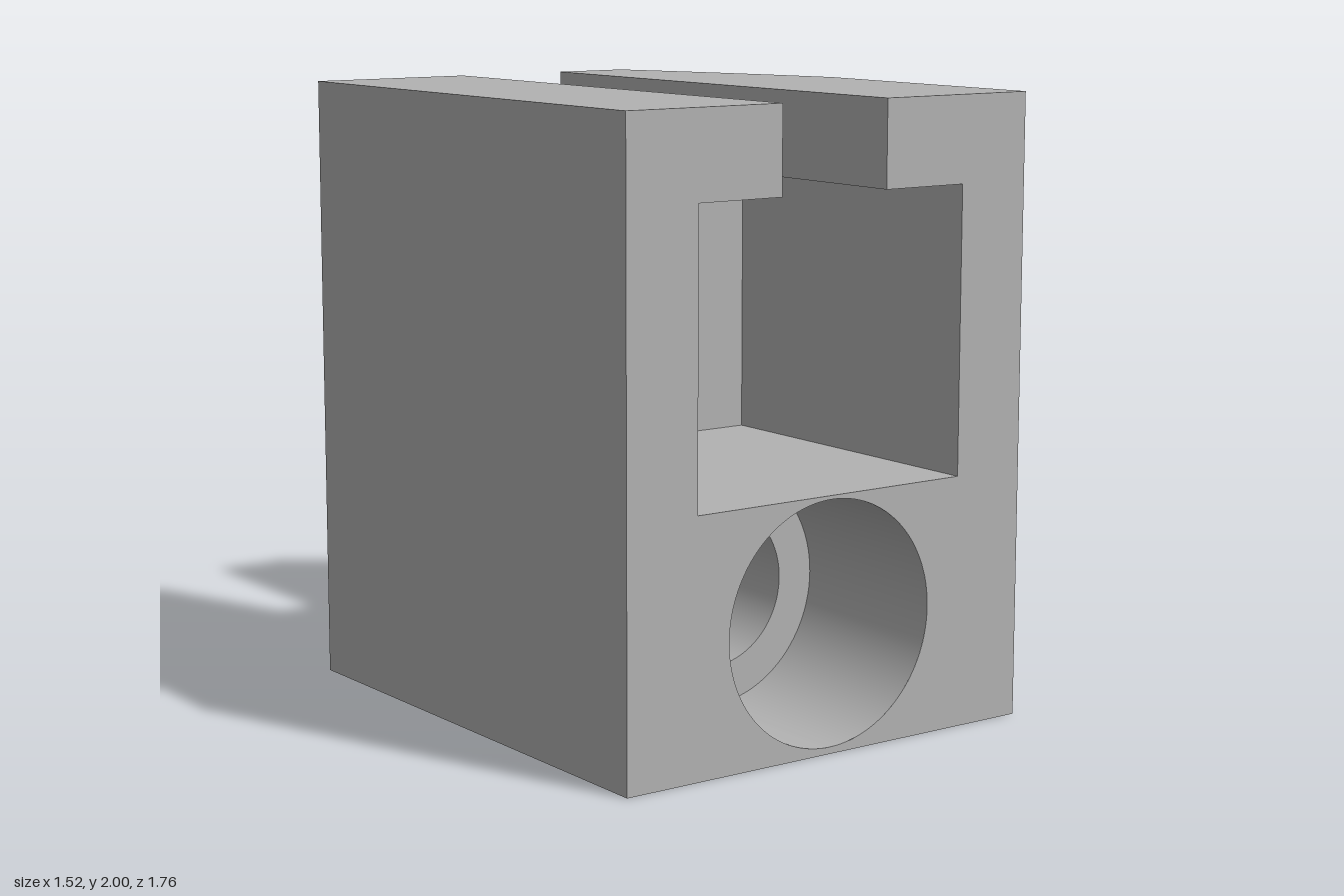
import * as THREE from 'three';

// Main sizes: half width, half depth, height
const W = 0.76, D = 0.88, H = 2;
// Slot half width and floor; pocket half width, floor, ceiling and back
const S = 0.2, SLOT_Y = 1.06, P = 0.505, FLOOR = 0.81, CEIL = 1.725, POCKET_Z = -0.23;
// Stepped bore: centre height, radii and step position
const BORE_Y = 0.41, R_FRONT = 0.388, R_BACK = 0.26, STEP_Z = 0.295;

export function createModel() {
  const model = new THREE.Group();
  model.name = 'slottedBlock';
  const grey = new THREE.MeshStandardMaterial({ color: 0xb2b2b2 });
  grey.name = 'grey';

  const add = (name, geometry) => {
    const mesh = new THREE.Mesh(geometry, grey);
    mesh.name = name;
    model.add(mesh);
    return mesh;
  };

  // Flat-shaded quads, four corners each
  const quads = (list) => {
    const pos = list.flatMap(([a, b, c, d]) => [a, b, c, a, c, d].flat());
    const g = new THREE.BufferGeometry();
    g.setAttribute('position', new THREE.Float32BufferAttribute(pos, 3));
    g.computeVertexNormals();
    return g;
  };

  // Walls swept along z below a path; the solid lies on the path's left
  const walls = (path, z0, z1) => quads(path.slice(1).map((q, i) => {
    const p = path[i];
    return [[...p, z0], [...q, z0], [...q, z1], [...p, z1]];
  }));

  // Flat face with an optional round hole at bore height
  const face = (points, holeRadius) => {
    const shape = new THREE.Shape(points.map((p) => new THREE.Vector2(...p)));
    if (holeRadius) {
      shape.holes.push(new THREE.Path().absarc(0, BORE_Y, holeRadius, 0, Math.PI * 2, true));
    }
    return new THREE.ShapeGeometry(shape, 64);
  };

  // Curved corner cut: straight sections that grow towards the back
  const CUT_Z = -0.065, N = 16;
  const cutTop = [], cutSide = [];
  for (let i = 0; i <= N; i++) {
    const t = i / N, f = 0.76 * t + 0.24 * t * t;
    const z = CUT_Z + (-D - CUT_Z) * t;
    cutTop.push([W - 0.305 * f, H, z]);
    cutSide.push([W, H - 0.34 * f, z]);
  }
  add('curvedCornerCut', quads(cutTop.slice(1).map((a, i) =>
    [cutTop[i], cutSide[i], cutSide[i + 1], a])));

  // Pocket outline, running from the right lip to the left lip
  const pocket = [[S, H], [S, CEIL], [P, CEIL], [P, FLOOR],
    [-P, FLOOR], [-P, CEIL], [-S, CEIL], [-S, H]];
  const slot = [[S, H], [S, SLOT_Y], [-S, SLOT_Y], [-S, H]];

  // Outer shell
  add('outerWalls', walls([[-S, H], [-W, H], [-W, 0], [W, 0]], -D, D));
  add('frontFace', face([[-W, 0], [W, 0], [W, H], ...pocket, [-W, H]], R_FRONT)).position.z = D;

  const [topX] = cutTop[N], [, sideY] = cutSide[N];
  const back = face([[-W, 0], [W, 0], [W, sideY], [topX, H], ...slot, [-W, H]], R_BACK);
  // Turn the face towards -z by reversing its triangles
  const index = back.index;
  for (let i = 0; i < index.count; i += 3) {
    const b = index.getX(i + 1);
    index.setX(i + 1, index.getX(i + 2));
    index.setX(i + 2, b);
  }
  back.computeVertexNormals();
  add('backFace', back).position.z = -D;

  const side = face([[-D, 0], [D, 0], ...cutSide.map(([, y, z]) => [-z, y]).reverse(), [-D, H]]);
  add('cutSideFace', side.rotateY(Math.PI / 2)).position.x = W;

  const top = face([[S, -D], [W, -D], ...cutTop.map(([x, , z]) => [x, -z]), [S, D]]);
  add('cutTopFace', top.rotateX(-Math.PI / 2)).position.y = H;

  // Wide front pocket opening into the narrow rear slot
  add('pocketWalls', walls(pocket, POCKET_Z, D));
  add('slotWalls', walls(slot, -D, POCKET_Z));
  add('pocketBack', face([[-P, FLOOR], [P, FLOOR], [P, CEIL], [S, CEIL], [S, SLOT_Y],
    [-S, SLOT_Y], [-S, CEIL], [-P, CEIL]])).position.z = POCKET_Z;

  // Stepped bore, mirrored so its surface faces inward
  const bore = (name, r, z0, z1) => {
    const g = new THREE.CylinderGeometry(r, r, z1 - z0, 96, 1, true)
      .rotateX(Math.PI / 2).scale(-1, 1, 1);
    g.computeVertexNormals();
    add(name, g).position.set(0, BORE_Y, (z0 + z1) / 2);
  };
  bore('frontBore', R_FRONT, STEP_Z, D);
  bore('rearBore', R_BACK, -D, STEP_Z);
  add('boreStep', new THREE.RingGeometry(R_BACK, R_FRONT, 96)).position.set(0, BORE_Y, STEP_Z);

  return model;
}
